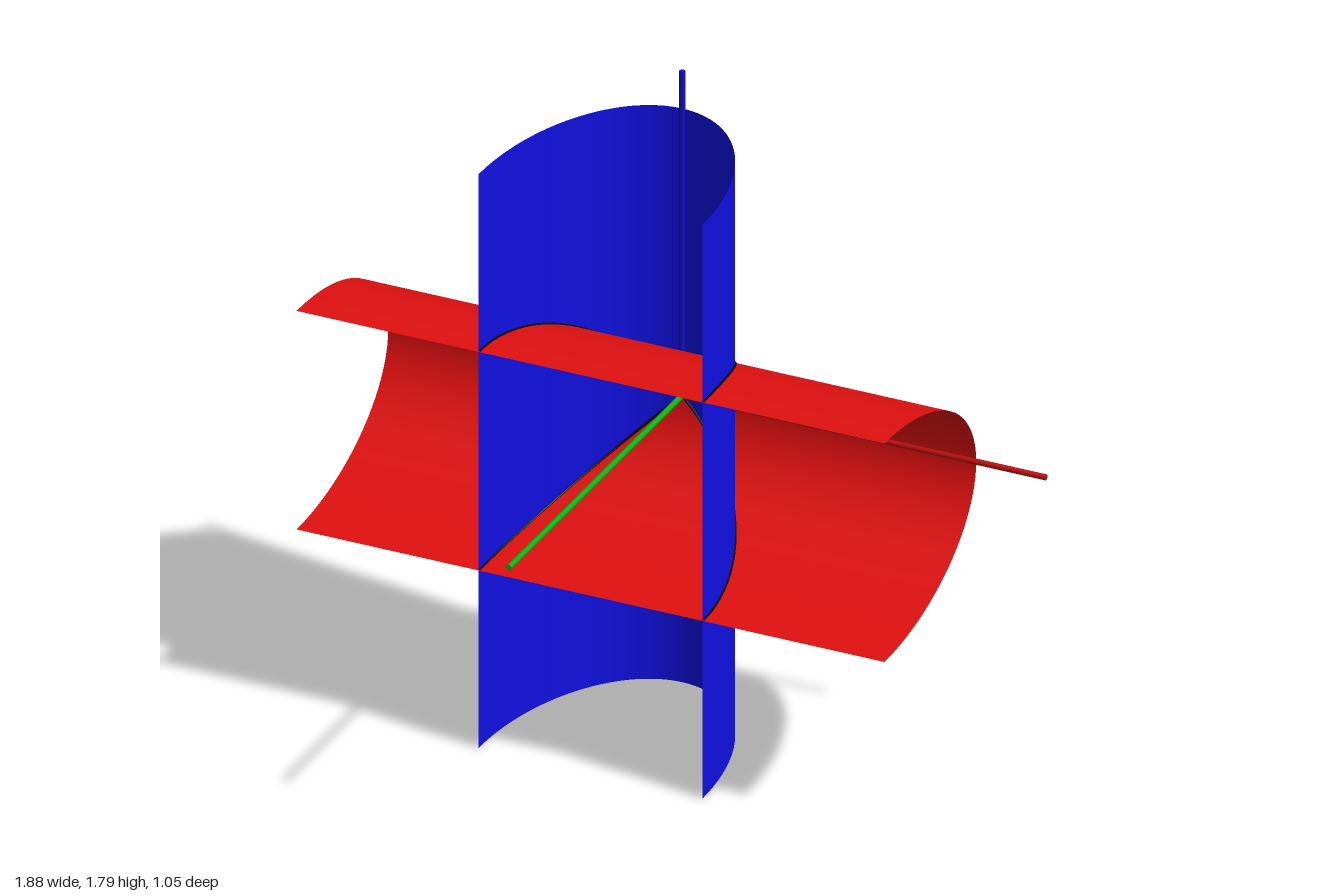
import * as THREE from 'three';

const HALF = 0.32, DEPTH = 0.55, LENGTH = 1.68;
const CENTER = new THREE.Vector3(-0.16, 0.843, 0);

function paint(color, side = THREE.FrontSide) {
  return new THREE.MeshStandardMaterial({ color, side });
}

// Open half of an elliptic cylinder, bulging toward the back
function halfCylinder(name, color) {
  const geometry = new THREE.CylinderGeometry(1, 1, LENGTH, 64, 1, true, Math.PI / 2, Math.PI);
  geometry.scale(HALF, 1, DEPTH);
  const mesh = new THREE.Mesh(geometry, paint(color, THREE.DoubleSide));
  mesh.name = name;
  return mesh;
}

// Curve where the two sheets meet, along one diagonal
function seam(name, sign) {
  const points = [];
  for (let i = 0; i <= 32; i++) {
    const t = (Math.PI * i) / 32;
    const c = HALF * Math.cos(t);
    points.push(new THREE.Vector3(c, sign * c, -DEPTH * Math.sin(t)));
  }
  const geometry = new THREE.TubeGeometry(new THREE.CatmullRomCurve3(points), 80, 0.004, 8);
  const mesh = new THREE.Mesh(geometry, paint(0x050505));
  mesh.name = name;
  return mesh;
}

// Thin rod running from the crossing point in the given direction
function axisRod(name, color, direction, length) {
  const geometry = new THREE.CylinderGeometry(0.008, 0.008, length, 12);
  geometry.translate(0, length / 2, 0);
  const mesh = new THREE.Mesh(geometry, paint(color));
  mesh.quaternion.setFromUnitVectors(new THREE.Vector3(0, 1, 0), direction);
  mesh.position.z = -DEPTH;
  mesh.name = name;
  return mesh;
}

export function createModel() {
  const model = new THREE.Group();
  model.name = 'crossedHalfCylinders';

  const upright = halfCylinder('uprightSheet', 0x1010e0);
  const level = halfCylinder('levelSheet', 0xe01010);
  level.rotation.z = Math.PI / 2;

  model.add(
    upright,
    level,
    seam('risingSeam', 1),
    seam('fallingSeam', -1),
    axisRod('sidewaysAxis', 0xc01010, new THREE.Vector3(1, 0, 0), 1.04),
    axisRod('verticalAxis', 0x1010c0, new THREE.Vector3(0, 1, 0), 0.95),
    axisRod('forwardAxis', 0x10b010, new THREE.Vector3(0, 0, 1), 1.04),
  );
  model.position.copy(CENTER);

  const root = new THREE.Group();
  root.add(model);
  return root;
}
